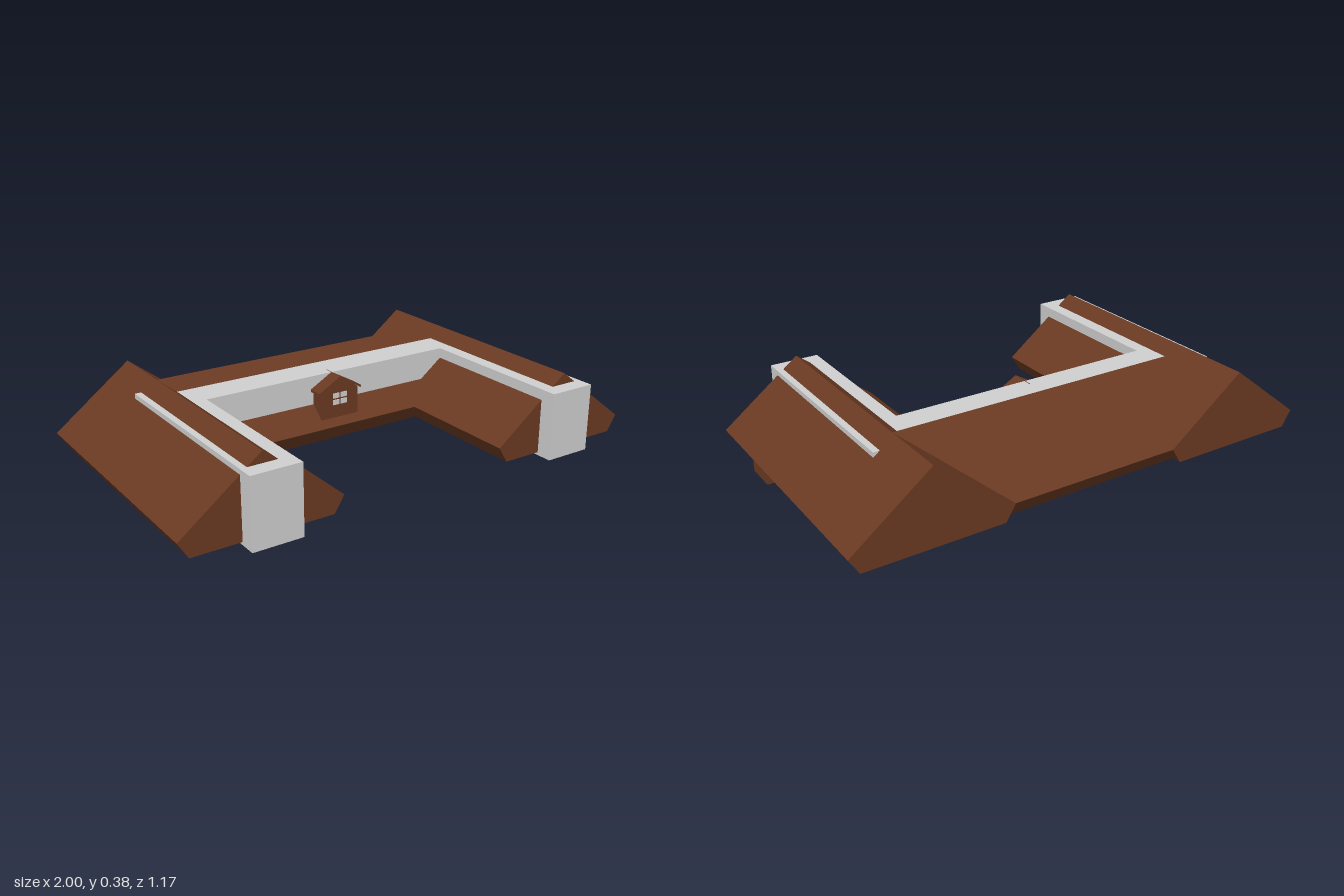
import * as THREE from 'three';

export function createModel() {
  const model = new THREE.Group();
  const mat = (name, color) => {
    const m = new THREE.MeshStandardMaterial({ color });
    m.name = name;
    return m;
  };
  const brown = mat('roof brown', 0x6b3a22);
  const pale = mat('pale grey', 0xd0d0d0);

  const add = (name, geometry, material, x = 0, y = 0, z = 0, parent = model) => {
    const mesh = new THREE.Mesh(geometry, material);
    mesh.name = name;
    mesh.position.set(x, y, z);
    parent.add(mesh);
    return mesh;
  };
  const box = (name, material, w, h, d, x, y, z, parent) =>
    add(name, new THREE.BoxGeometry(w, h, d), material, x, y, z, parent);
  const extrude = (points, depth) => new THREE.ExtrudeGeometry(
    new THREE.Shape(points.map(([x, y]) => new THREE.Vector2(x, y))),
    { depth, bevelEnabled: false });

  // Pitched roof section with tucked-in eaves, centred on its ridge
  const section = (half) => [
    [-half + 0.04, 0.07], [half - 0.04, 0.07], [half, 0.135], [0, 0.38], [-half, 0.135],
  ];

  // Two wings running front to back
  for (const [side, name] of [[1, 'leftWingRoof'], [-1, 'rightWingRoof']]) {
    add(name, extrude(section(0.32), 1.105), brown, side * 0.68, 0, -0.585);
  }

  // Cross roof joining the wings at the back
  const cross = extrude(section(0.283), 1.36);
  cross.rotateY(Math.PI / 2);
  add('backRoof', cross, brown, -0.68, 0, -0.302);

  // U-shaped wall band that breaks through the roof slopes
  const wall = extrude([
    [-0.765, 0.32], [-0.765, -0.585], [-0.565, -0.585], [-0.565, 0.11],
    [0.565, 0.11], [0.565, -0.585], [0.765, -0.585], [0.765, 0.32],
  ], 0.277);
  wall.rotateX(-Math.PI / 2);
  add('wallBand', wall, pale, 0, 0.058, 0);

  // Dormer on the front slope of the back roof
  const dormer = new THREE.Group();
  dormer.name = 'dormer';
  model.add(dormer);
  add('dormerBody', extrude(
    [[-0.088, 0.16], [0.088, 0.16], [0.088, 0.275], [0, 0.325], [-0.088, 0.275]], 0.09),
  brown, 0, 0, -0.14, dormer);
  add('dormerRoof', extrude(
    [[-0.1, 0.27], [0, 0.325], [0.1, 0.27], [0.1, 0.28], [0, 0.336], [-0.1, 0.28]], 0.1),
  brown, 0, 0, -0.145, dormer);
  for (const x of [-0.018, 0.018]) {
    for (const y of [0.228, 0.256]) {
      box('windowPane', pale, 0.028, 0.021, 0.006, x, y, -0.049, dormer);
    }
  }

  // Square stubs with a pale opening, projecting below the roof
  for (const [w, d, x, z, name] of [
    [0.14, 0.135, 0.88, 0.312, 'frontStub'],
    [0.17, 0.17, -0.675, -0.31, 'backStub'],
  ]) {
    box(name, brown, w, 0.1, d, x, 0.052, z);
    box(name + 'Opening', pale, w * 0.5, 0.004, d * 0.5, x, 0.002, z);
  }
  return model;
}
